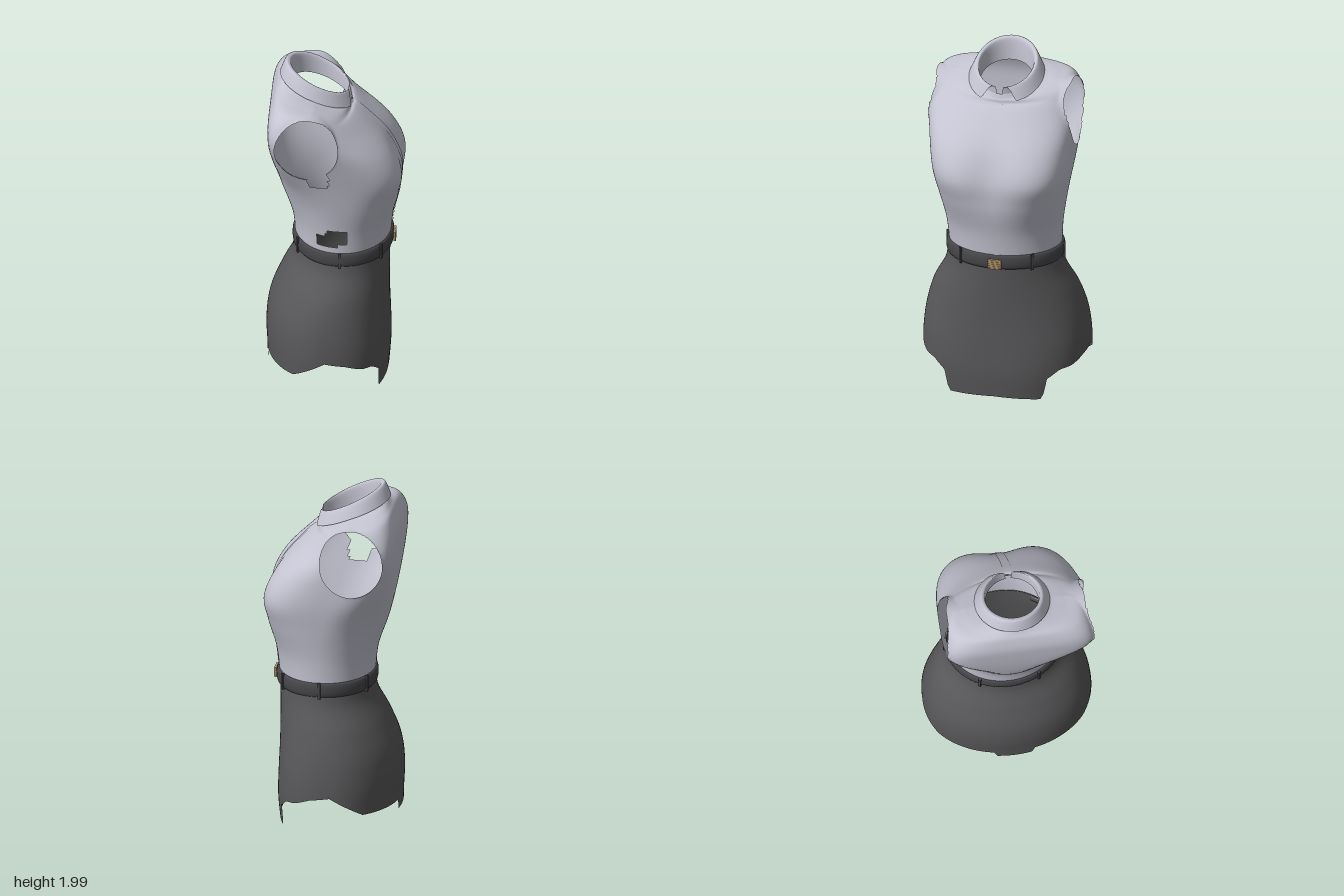
import * as THREE from 'three';

const material = (name, color) => {
  const m = new THREE.MeshStandardMaterial({ color, side: THREE.DoubleSide });
  m.name = name;
  return m;
};

// Surface from a rule fn(i, j); quads with a vertex where skip() is true are left out
function grid(name, mat, nu, nv, closed, fn, skip) {
  const pos = [], index = [], cut = [];
  const w = closed ? nu : nu + 1;
  for (let j = 0; j <= nv; j++) {
    for (let i = 0; i < w; i++) {
      const p = fn(i / nu, j / nv);
      cut.push(skip ? skip(p) : false);
      pos.push(p.x, p.y, p.z);
    }
  }
  for (let j = 0; j < nv; j++) {
    for (let i = 0; i < nu; i++) {
      const k = (i + 1) % w;
      const q = [j * w + i, j * w + k, (j + 1) * w + k, (j + 1) * w + i];
      if (q.some((n) => cut[n])) continue;
      index.push(q[0], q[1], q[2], q[0], q[2], q[3]);
    }
  }
  const g = new THREE.BufferGeometry();
  g.setAttribute('position', new THREE.Float32BufferAttribute(pos, 3));
  g.setIndex(index);
  g.computeVertexNormals();
  const mesh = new THREE.Mesh(g, mat);
  mesh.name = name;
  return mesh;
}

// Smooth blend between rows of section values
function sample(rows, t) {
  const i = Math.min(Math.floor(t), rows.length - 2), f = t - i;
  const row = (k) => rows[Math.max(0, Math.min(rows.length - 1, k))];
  return rows[i].map((p1, c) => {
    const p0 = row(i - 1)[c], p2 = row(i + 1)[c], p3 = row(i + 2)[c];
    return p1 + 0.5 * f * (p2 - p0 + f * (2 * p0 - 5 * p1 + 4 * p2 - p3 + f * (3 * (p1 - p2) + p3 - p0)));
  });
}

// Point on a section: height, front and back tilt, half width, centre, front, back,
// front and back squareness, side shift
function sectionPoint([y, tiltF, tiltB, a, c, front, back, nf, nb, shift], angle, off = 0) {
  const s = Math.sin(angle), k = Math.cos(angle), n = k > 0 ? nf : nb;
  const r = 1 / Math.pow(Math.pow(Math.abs(s), n) + Math.pow(Math.abs(k), n), 1 / n);
  const dz = ((k > 0 ? front - c : c - back) + off) * r * k;
  return new THREE.Vector3(shift + (a + off) * r * s, y - (k > 0 ? tiltF : tiltB) * dz, c + dz);
}

const shirtRows = [
  [0.86, 0, 0, 0.322, 0.10, 0.37, -0.172, 2, 2, 0.03],
  [1.02, 0, 0, 0.335, 0.10, 0.39, -0.19, 2.1, 2, 0.025],
  [1.20, 0, 0, 0.365, 0.09, 0.437, -0.25, 2.6, 2, 0.02],
  [1.35, 0, 0, 0.39, 0.06, 0.455, -0.285, 3.2, 2.6, 0.015],
  [1.50, 0, 0, 0.41, 0, 0.387, -0.305, 3, 4.2, 0],
  [1.65, 0, 0, 0.427, -0.04, 0.25, -0.312, 2.2, 7, -0.02],
  [1.745, 0.12, 0.02, 0.415, -0.06, 0.178, -0.308, 2, 6, -0.02],
  [1.815, 0.42, 0.08, 0.375, -0.06, 0.152, -0.28, 2, 4, -0.012],
  [1.826, 0.41, 0.2, 0.29, -0.05, 0.147, -0.255, 2, 2.5, 0],
  [1.832, 0.42, 0.32, 0.20, -0.045, 0.142, -0.235, 2, 2, 0],
  [1.855, 0.45, 0.42, 0.16, -0.038, 0.132, -0.195, 2, 2, 0],
];

// Skirt sections, 0.15 apart from the waist down
const skirtRows = [
  [0.90, 0, 0, 0.322, 0.10, 0.37, -0.17, 2, 2, 0.03],
  [0.75, 0, 0, 0.345, 0.10, 0.365, -0.185, 2, 2, 0.03],
  [0.60, 0, 0, 0.418, 0.05, 0.363, -0.255, 2.1, 2, 0.025],
  [0.45, 0, 0, 0.462, 0.02, 0.363, -0.315, 2.3, 2, 0.024],
  [0.30, 0, 0, 0.48, 0.01, 0.367, -0.335, 2.5, 2, 0.024],
  [0.15, 0, 0, 0.48, 0.01, 0.37, -0.33, 2.5, 2, 0.024],
  [0, 0, 0, 0.475, 0.01, 0.36, -0.325, 2.3, 2, 0.022],
];

// Ragged hem: height by degrees away from the front
const hem = [[0, 0.015], [33, 0], [36, 0.13], [45, 0.18], [55, 0.19], [70, 0.23], [88, 0.25],
  [120, 0.14], [167, 0.13], [168, 0.08], [181, 0.08]];
function hemHeight(angle) {
  let d = THREE.MathUtils.radToDeg(angle) % 360;
  if (d > 180) d = 360 - d;
  const k = hem.findIndex((h) => h[0] > d);
  const [d0, y0] = hem[k - 1], [d1, y1] = hem[k];
  return y0 + (y1 - y0) * (d - d0) / (d1 - d0);
}

// Square tears in the right side of the blouse: z range, y range
const tears = [[-0.03, 0.08, 0.93, 0.99], [0.03, 0.14, 0.96, 1.03], [-0.07, 0.03, 1.38, 1.47]];

export function createModel() {
  const cloth = material('pale lilac cloth', 0xc4c4d2);
  const dark = material('charcoal cloth', 0x58585a);
  const leather = material('dark leather', 0x47474b);
  const tan = material('tan', 0xb6966a);
  const TAU = Math.PI * 2;
  const model = new THREE.Group();
  model.name = 'blouseAndSkirt';
  const body = new THREE.Group();
  body.name = 'outfit';
  body.rotation.y = THREE.MathUtils.degToRad(135);
  model.add(body);

  // Blouse with a shallow dip between the busts and two oval armholes;
  // vertices near a rim are moved onto it
  const rim = (p) => Math.hypot((p.z + 0.085) / 0.18, (p.y - 1.63) / 0.195);
  const blousePoint = (i, j) => {
    const angle = i * TAU;
    const p = sectionPoint(sample(shirtRows, j * (shirtRows.length - 1)), angle);
    if (Math.cos(angle) > 0) {
      p.z -= 0.033 * Math.exp(-Math.pow((p.x - 0.01) / 0.13, 2) - Math.pow((p.y - 1.38) / 0.18, 2));
    }
    const d = rim(p);
    if (Math.abs(p.x) > 0.3 && d < 1 && d > 0.84) {
      p.z = -0.085 + (p.z + 0.085) / d;
      p.y = 1.63 + (p.y - 1.63) / d;
    }
    return p;
  };
  const torn = (p) => p.x < -0.2
    && tears.some(([z0, z1, y0, y1]) => p.z > z0 && p.z < z1 && p.y > y0 && p.y < y1);
  body.add(grid('blouse', cloth, 128, 80, true, blousePoint,
    (p) => (Math.abs(p.x) > 0.3 && rim(p) < 0.99) || torn(p)));

  // Overlapping button strip down the front
  body.add(grid('buttonStrip', cloth, 4, 60, false, (i, j) => {
    const p = blousePoint((i - 0.1) * 0.018, j * 0.9);
    p.z += 0.005;
    return p;
  }));

  // Folded collar, open at the front: inner stand, top fold, outer fall
  const collar = [
    [1.80, 0.38, 0.38, 0.150, -0.035, 0.13, -0.185, 2, 2, 0],
    [1.892, 0.48, 0.48, 0.155, -0.035, 0.135, -0.195, 2, 2, 0],
    [1.907, 0.48, 0.48, 0.168, -0.035, 0.14, -0.21, 2, 2, 0],
    [1.895, 0.47, 0.47, 0.184, -0.035, 0.15, -0.228, 2, 2, 0],
    [1.833, 0.42, 0.36, 0.215, -0.04, 0.18, -0.257, 2, 2, 0],
  ];
  body.add(grid('collar', cloth, 64, 16, false, (i, j) => {
    const gap = 0.1 + 0.42 * j * j;
    return sectionPoint(sample(collar, j * 4), gap + i * (TAU - 2 * gap));
  }));

  // Skirt
  body.add(grid('skirt', dark, 180, 36, true, (i, j) => {
    const angle = i * TAU;
    const y = THREE.MathUtils.lerp(hemHeight(angle), 0.88, j);
    return sectionPoint(sample(skirtRows, (0.9 - y) / 0.15), angle);
  }));

  // Belt with a rounded face
  const waist = (y) => [y, 0, 0, 0.326, 0.10, 0.374, -0.174, 2, 2, 0.03];
  body.add(grid('belt', leather, 80, 10, true, (i, j) => {
    const h = j * Math.PI;
    return sectionPoint(waist(0.847 - 0.043 * Math.cos(h)), i * TAU, 0.018 * Math.pow(Math.sin(h), 0.6) - 0.004);
  }));

  // Belt loops, mirrored left and right
  for (const deg of [38, 90, 150]) {
    for (const side of [-1, 1]) {
      const angle = THREE.MathUtils.degToRad(deg * side);
      const loop = new THREE.Mesh(new THREE.BoxGeometry(0.016, 0.096, 0.012), leather);
      loop.name = 'beltLoop';
      loop.position.copy(sectionPoint(waist(0.847), angle, 0.014));
      loop.rotation.y = angle;
      body.add(loop);
    }
  }

  // Ribbed buckle
  const buckle = new THREE.Group();
  buckle.name = 'buckle';
  const plate = new THREE.Mesh(new THREE.BoxGeometry(0.078, 0.058, 0.01), tan);
  plate.name = 'bucklePlate';
  buckle.add(plate);
  for (let k = -2; k <= 2; k++) {
    const rib = new THREE.Mesh(new THREE.BoxGeometry(0.08, 0.007, 0.005), tan);
    rib.name = 'buckleRib';
    rib.position.set(0, k * 0.012, 0.006);
    buckle.add(rib);
  }
  buckle.position.set(0.035, 0.837, 0.391);
  body.add(buckle);

  // Tapering liner scrap under the skirt: depth, half width, height, upturn of the edges, side shift
  const liner = [[0.20, 0.11, 0.115, 0.04, 0], [0.15, 0.09, 0.085, 0.05, 0], [0.09, 0.055, 0.068, 0.04, 0],
    [0.03, 0.016, 0.07, 0.005, 0.02], [-0.07, 0.012, 0.085, 0, 0.06]];
  body.add(grid('liner', tan, 10, 16, false, (i, j) => {
    const [z, w, y, up, shift] = sample(liner, j * 4);
    const s = 2 * i - 1;
    return new THREE.Vector3(shift + s * w, y + up * s * s, z);
  }));

  return model;
}
